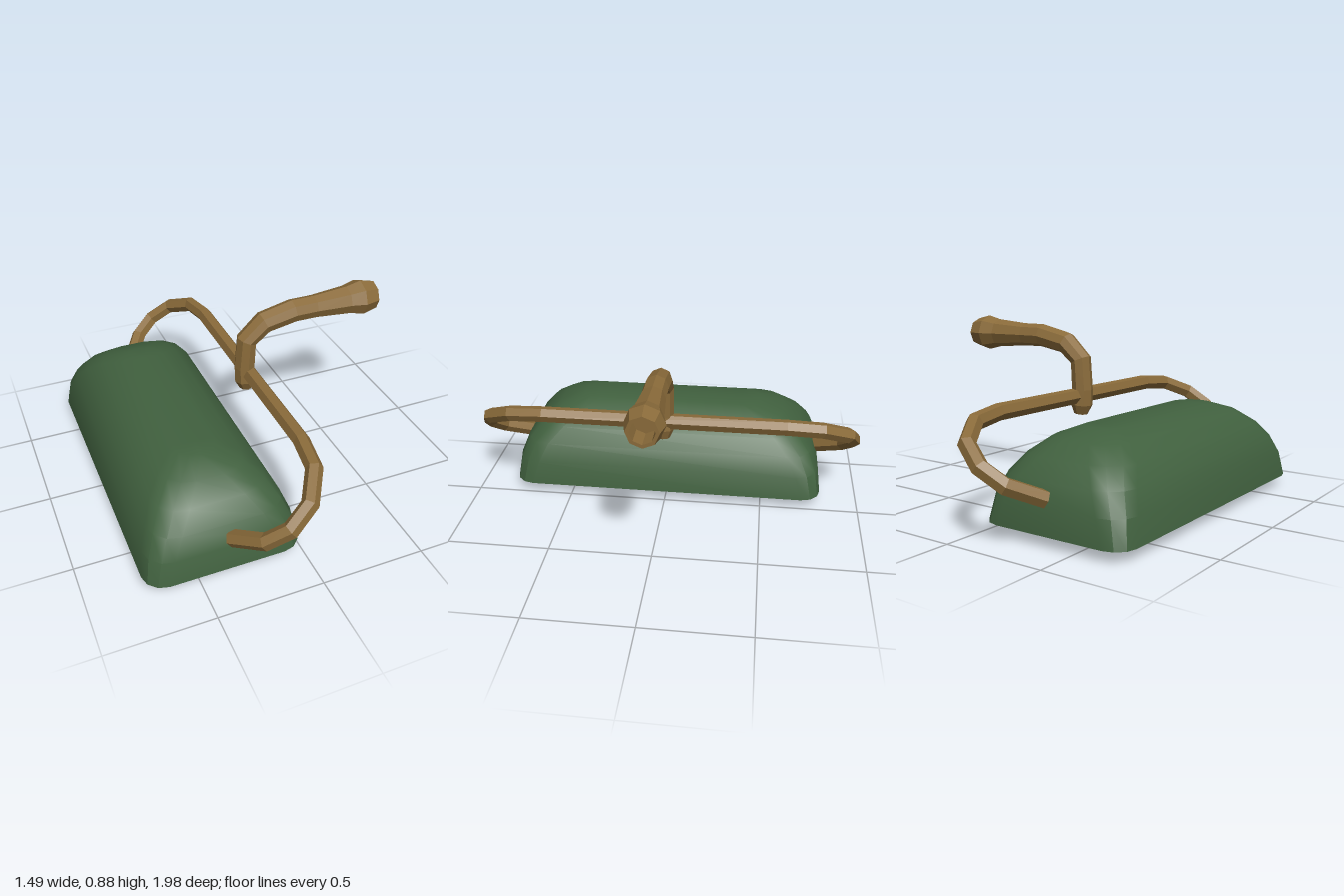
import * as THREE from 'three';
import { toCreasedNormals } from 'three/addons/utils/BufferGeometryUtils.js';

const material = (name, color) => {
  const m = new THREE.MeshStandardMaterial({ color });
  m.name = name;
  return m;
};

// Skin closed rings of equal length; edges sharper than crease stay hard
function loft(rings, crease) {
  const n = rings[0].length, index = [];
  for (let i = 0; i < rings.length - 1; i++) {
    for (let j = 0; j < n; j++) {
      const a = i * n + j, b = i * n + (j + 1) % n;
      index.push(a, b, a + n, b, b + n, a + n);
    }
  }
  const geo = new THREE.BufferGeometry().setFromPoints(rings.flat());
  geo.setIndex(index);
  return toCreasedNormals(geo, crease);
}

// Rounded rectangle ring at height y
function roundedRing(y, hx, hz, r) {
  const pts = [], steps = 3;
  [[1, 1], [-1, 1], [-1, -1], [1, -1]].forEach(([sx, sz], q) => {
    for (let k = 0; k <= steps; k++) {
      const t = (q + k / steps) * Math.PI / 2;
      pts.push(new THREE.Vector3(sx * (hx - r) + r * Math.cos(t), y, -(sz * (hz - r) + r * Math.sin(t))));
    }
  });
  return pts;
}

// Faceted tube along a planar path; normal is perpendicular to the path's plane
function tube(path, radii, normal, sides) {
  const rings = path.map((p, i) => {
    const t = path[Math.min(i + 1, path.length - 1)].clone().sub(path[Math.max(i - 1, 0)]).normalize();
    const b = t.cross(normal);
    return Array.from({ length: sides }, (_, j) => {
      const a = j / sides * Math.PI * 2;
      return p.clone().addScaledVector(normal, radii[i] * Math.cos(a)).addScaledVector(b, radii[i] * Math.sin(a));
    });
  });
  return loft(rings, 0.05);
}

export function createModel() {
  const model = new THREE.Group();
  model.name = 'lamp';
  const green = material('shade green', 0x41613f);
  const brass = material('aged brass', 0x8a6b3a);
  const black = material('socket black', 0x0a0a0a);
  const glow = material('bulb yellow', 0xd6bd78);
  const add = (parent, name, geo, mat) => {
    const mesh = new THREE.Mesh(geo, mat);
    mesh.name = name;
    parent.add(mesh);
    return mesh;
  };

  // Hollow shade: inside downwards, rim, then outside upwards
  const outer = [
    [0.055, 0.372, 0.807, 0.1], [0.175, 0.355, 0.792, 0.12], [0.27, 0.318, 0.755, 0.13],
    [0.35, 0.268, 0.69, 0.14], [0.415, 0.195, 0.6, 0.13], [0.455, 0.1, 0.48, 0.1], [0.455, 0, 0.38, 0],
  ];
  const inner = outer.map(([y, hx, hz, r], i) => [
    i ? y - 0.035 : y, Math.max(hx - 0.04, 0), hz - 0.04, Math.max(r - 0.04, 0),
  ]).reverse();
  const shade = add(model, 'shade', loft([...inner, ...outer].map(a => roundedRing(...a)), 0.5), green);
  shade.position.x = -0.372;

  // Yoke: one side of the path in (x, z), mirrored; it lies in a sloping plane
  const slope = 0.74;
  const half = [[-0.345, 0.775], [-0.345, 0.775], [-0.25, 0.915], [-0.155, 0.957],
    [-0.05, 0.92], [0.033, 0.785], [0.056, 0.61]];
  const sides = [...half, ...half.map(([x, z]) => [x, -z]).reverse()];
  const yokePath = sides.map(([x, z]) => new THREE.Vector3(x, 0.5 + (x - 0.056) * slope, z));
  const yokeRadii = sides.map((_, i) => (i === 0 || i === sides.length - 1 ? 0 : 0.04));
  add(model, 'yoke', tube(yokePath, yokeRadii, new THREE.Vector3(-slope, 1, 0).normalize(), 6), brass);

  // Curved arm: x, y, radius
  const arm = [[0.05, 0.408, 0], [0.05, 0.408, 0.035], [0.045, 0.455, 0.055], [0.04, 0.53, 0.053],
    [0.05, 0.68, 0.053], [0.14, 0.76, 0.056], [0.295, 0.792, 0.058], [0.41, 0.792, 0.058],
    [0.59, 0.792, 0.073], [0.665, 0.792, 0.091], [0.742, 0.792, 0.073]];
  add(model, 'arm', tube(arm.map(([x, y]) => new THREE.Vector3(x, y, 0)), arm.map(a => a[2]),
    new THREE.Vector3(0, 0, 1), 8), brass);

  // Hollow mouth at the end of the arm
  const mouth = new THREE.LatheGeometry(
    [[0.073, 0.742], [0.056, 0.742], [0.056, 0.64], [0, 0.64]].map(p => new THREE.Vector2(...p)), 8);
  mouth.rotateZ(-Math.PI / 2).translate(0, 0.792, 0);
  add(model, 'armMouth', toCreasedNormals(mouth, 0.05), brass);

  // Socket, collar and bulb, dipping slightly towards the back
  const fitting = new THREE.Group();
  fitting.name = 'fitting';
  fitting.position.set(-0.392, 0.18, 0);
  fitting.rotation.x = -0.06;
  model.add(fitting);
  const barrel = (r, z0, z1) => toCreasedNormals(
    new THREE.CylinderGeometry(r, r, z1 - z0, 8).rotateX(Math.PI / 2).translate(0, 0, (z0 + z1) / 2), 0.05);
  add(fitting, 'socket', barrel(0.14, -0.02, 0.46), black);
  add(fitting, 'socketCollar', barrel(0.115, -0.22, -0.02), black);
  const bulb = new THREE.SphereGeometry(0.155, 8, 6).rotateX(Math.PI / 2).scale(1, 1, 1.1).translate(0, 0, -0.345);
  add(fitting, 'bulb', toCreasedNormals(bulb, 0.05), glow);

  return model;
}
